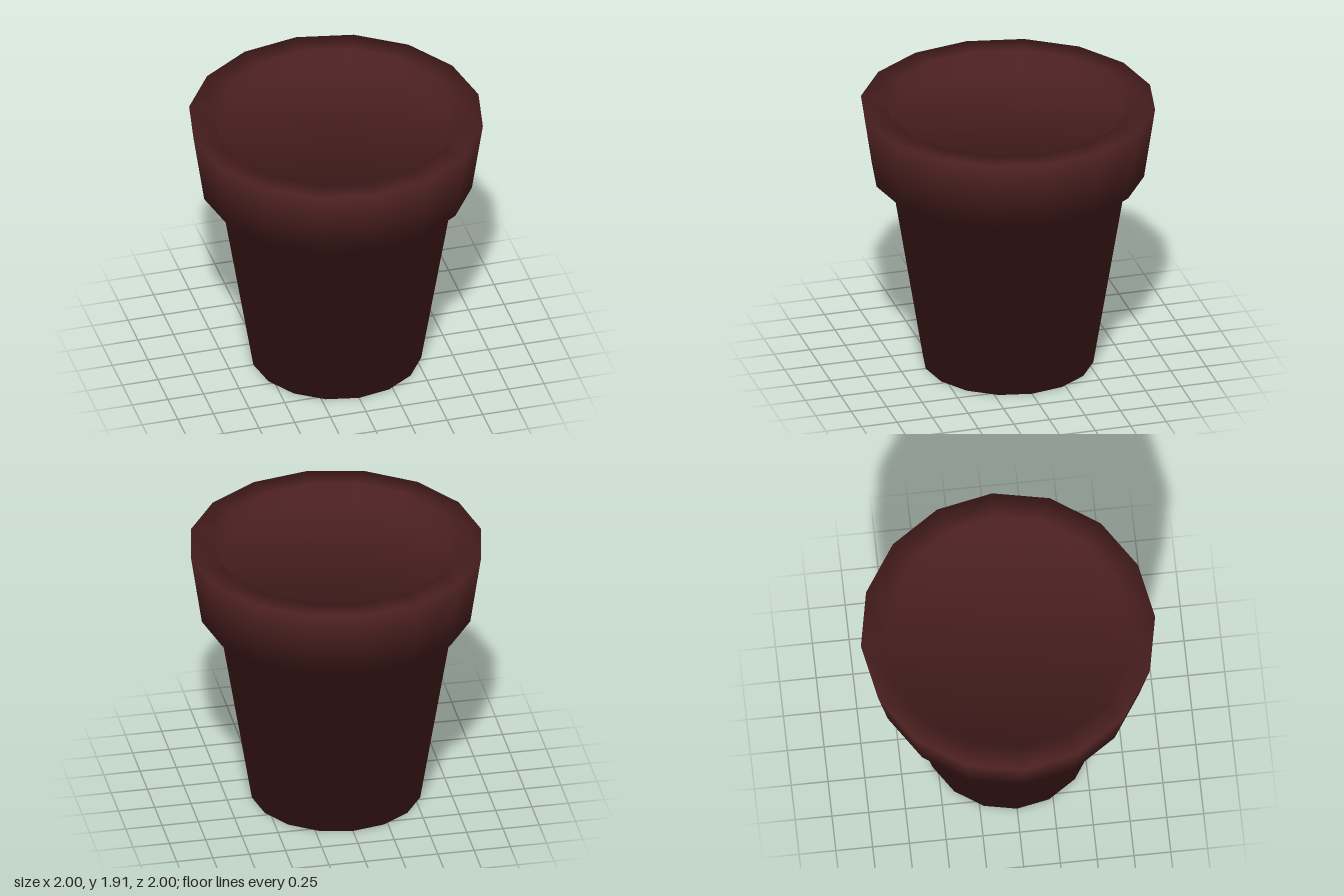
import * as THREE from 'three';

const SIDES = 16;

// Profile from the underside centre, up the outside, over the lip to the floor centre: [radius, height]
const PROFILE = [
  [0, 0],
  [0.58, 0], // foot of the tapered body
  [0.81, 1.41], // body meets the collar
  [0.925, 1.41], // collar underside
  [1, 1.915], // lip, outer edge
  [0.83, 1.915], // lip, inner edge
  [0.81, 1.775], // shallow floor
  [0, 1.775],
];

// Unit normal of the profile segment that starts at point k
function segmentNormal(k) {
  const [r0, y0] = PROFILE[k];
  const [r1, y1] = PROFILE[k + 1];
  return new THREE.Vector2(y1 - y0, r0 - r1).normalize();
}

function potGeometry() {
  const positions = [];
  const normals = [];
  const index = [];
  const rings = PROFILE.length - 2;

  // Rings of vertices, each normal the even mean of its two segments
  for (let k = 1; k <= rings; k++) {
    const [r, y] = PROFILE[k];
    const n = segmentNormal(k - 1).add(segmentNormal(k)).normalize();
    for (let i = 0; i < SIDES; i++) {
      const a = (i / SIDES) * Math.PI * 2;
      positions.push(r * Math.sin(a), y, r * Math.cos(a));
      normals.push(n.x * Math.sin(a), n.y, n.x * Math.cos(a));
    }
  }

  // Walls between neighbouring rings
  for (let k = 0; k < rings - 1; k++) {
    for (let i = 0; i < SIDES; i++) {
      const a = k * SIDES + i;
      const b = k * SIDES + ((i + 1) % SIDES);
      index.push(a, b, b + SIDES, a, b + SIDES, a + SIDES);
    }
  }

  // Flat underside and floor, without a centre vertex
  const top = (rings - 1) * SIDES;
  for (let i = 1; i < SIDES - 1; i++) {
    index.push(0, i + 1, i);
    index.push(top, top + i, top + i + 1);
  }

  const geometry = new THREE.BufferGeometry();
  geometry.setAttribute('position', new THREE.Float32BufferAttribute(positions, 3));
  geometry.setAttribute('normal', new THREE.Float32BufferAttribute(normals, 3));
  geometry.setIndex(index);
  return geometry;
}

export function createModel() {
  const model = new THREE.Group();
  model.name = 'flowerPot';

  const clay = new THREE.MeshStandardMaterial({ color: 0x4a1f1f });
  const pot = new THREE.Mesh(potGeometry(), clay);
  pot.name = 'pot';
  model.add(pot);

  return model;
}
